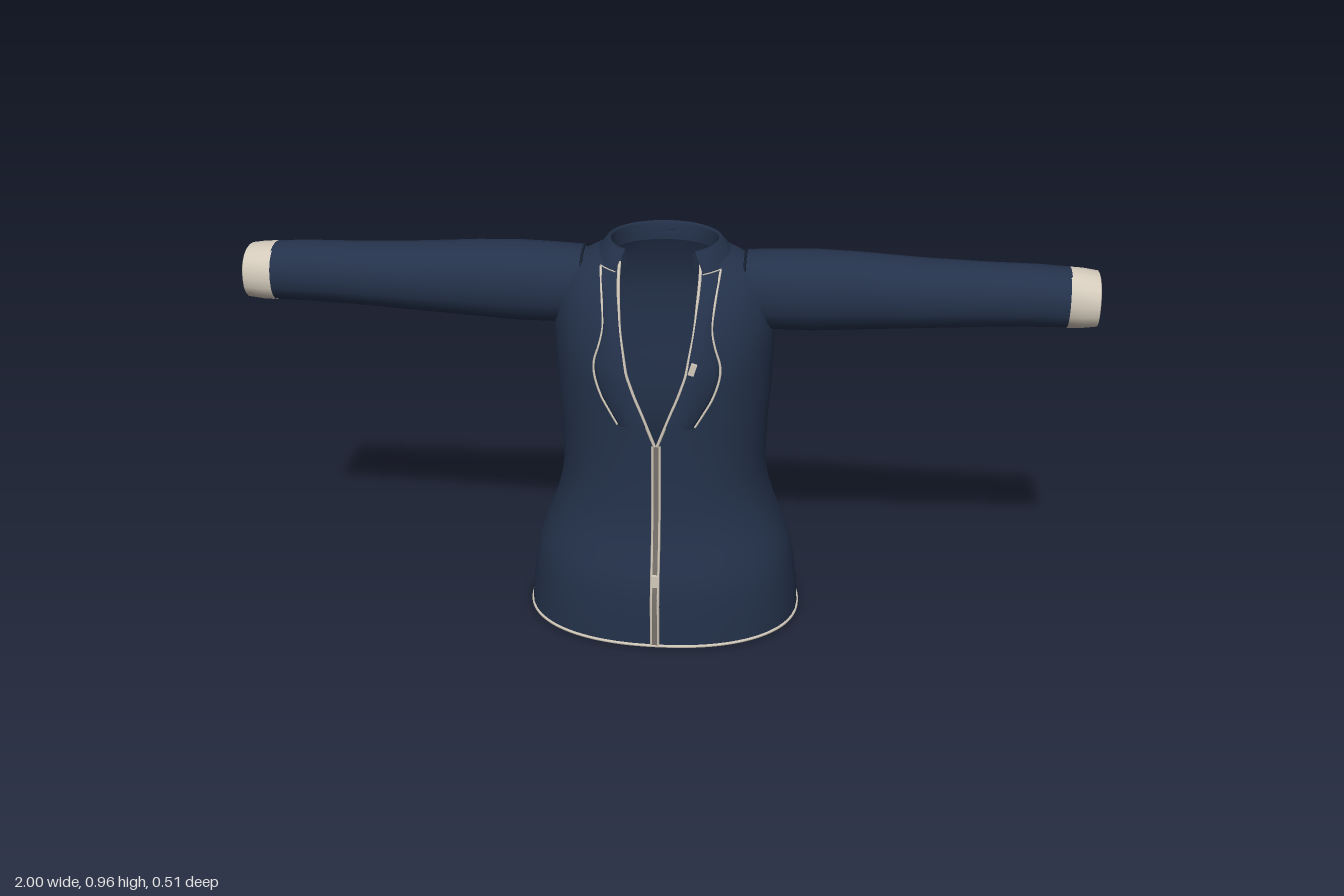
import * as THREE from 'three';

const DS = THREE.DoubleSide;
const mat = (name, color) => {
  const m = new THREE.MeshStandardMaterial({ color, side: DS });
  m.name = name;
  return m;
};

// Body profile rows: y, half width, front z, back z
const BODY = [
  [0, .335, .25, -.25], [.06, .331, .251, -.251], [.13, .322, .25, -.25], [.17, .315, .244, -.243],
  [.2, .307, .238, -.234], [.25, .288, .226, -.217], [.3, .268, .217, -.2], [.35, .254, .212, -.183],
  [.4, .247, .21, -.17], [.45, .247, .209, -.161], [.52, .25, .209, -.157], [.6, .256, .211, -.159],
  [.65, .258, .213, -.16], [.7, .26, .213, -.16], [.75, .262, .204, -.159], [.8, .261, .189, -.155],
  [.84, .254, .174, -.146], [.88, .238, .155, -.133], [.91, .21, .137, -.12], [.93, .17, .128, -.112],
  [.945, .135, .122, -.105],
];
// Half width of the neck opening at each height
const GAP = [[0, 0], [.52, 0], [.6, .03], [.65, .05], [.7, .066], [.8, .083], [.9, .09], [1, .09]];
// Outer edge of the lapel: y, x
const LAPEL = [[.57, .09], [.6, .108], [.64, .13], [.69, .145], [.72, .145], [.76, .133], [.8, .125], [.86, .13], [.92, .138]];

function lookup(table, y) {
  let i = 0;
  while (i < table.length - 2 && table[i + 1][0] < y) i++;
  const a = table[i], b = table[i + 1];
  const t = THREE.MathUtils.clamp((y - a[0]) / (b[0] - a[0]), 0, 1);
  return a.map((v, k) => v + (b[k] - v) * t);
}

const P = 0.9; // rounds the body section slightly toward a box
function frontPoint(x, y, lift = 0) {
  const [, w, f] = lookup(BODY, y);
  const r = Math.min(1, Math.abs(x) / w);
  return new THREE.Vector3(x, y, f * Math.pow(1 - Math.pow(r, 2 / P), P / 2) + lift);
}

// Skin joining a list of cross-sections
function loft(rings, closed) {
  const n = rings[0].length, pos = [], idx = [];
  rings.forEach(r => r.forEach(p => pos.push(p.x, p.y, p.z)));
  for (let i = 0; i < rings.length - 1; i++) {
    for (let j = 0; j < (closed ? n : n - 1); j++) {
      const k = (j + 1) % n, a = i * n + j, b = i * n + k, c = a + n, d = b + n;
      idx.push(a, b, d, a, d, c);
    }
  }
  const g = new THREE.BufferGeometry();
  g.setAttribute('position', new THREE.Float32BufferAttribute(pos, 3));
  g.setIndex(idx);
  g.computeVertexNormals();
  return g;
}

function bodyRing(y, n = 48) {
  const [, w, f, b] = lookup(BODY, y);
  const start = Math.asin(Math.pow(lookup(GAP, y)[1] / w, 1 / P));
  const pts = [];
  for (let i = 0; i <= n; i++) {
    const a = start + (2 * Math.PI - 2 * start) * i / n;
    const s = Math.sin(a), c = Math.cos(a);
    pts.push(new THREE.Vector3(w * Math.sign(s) * Math.pow(Math.abs(s), P), y,
      (c > 0 ? f : -b) * Math.sign(c) * Math.pow(Math.abs(c), P)));
  }
  return pts;
}

function collarRing(y, w, f, b, n = 36) {
  const start = .65, pts = [];
  for (let i = 0; i <= n; i++) {
    const a = start + (2 * Math.PI - 2 * start) * i / n, c = Math.cos(a);
    pts.push(new THREE.Vector3(w * Math.sin(a), y, c > 0 ? f * c : b * c));
  }
  return pts;
}

// Oval section of an arm, facing along x
function armRing(side, x, top, bottom, rz, n = 20) {
  const pts = [];
  for (let i = 0; i < n; i++) {
    const a = side * 2 * Math.PI * i / n, c = Math.cos(a), s = Math.sin(a);
    pts.push(new THREE.Vector3(side * x,
      (top + bottom) / 2 + (top - bottom) / 2 * Math.sign(c) * Math.pow(Math.abs(c), .9),
      .003 + rz * Math.sign(s) * Math.pow(Math.abs(s), .9)));
  }
  return pts;
}

export function createModel() {
  const group = new THREE.Group();
  group.name = 'jacket';
  const navy = mat('navy cloth', 0x24324b);
  const cream = mat('cream trim', 0xd3cabb);
  const grey = mat('zip teeth', 0x77726a);
  const dark = mat('dark lining', 0x172030);

  const add = (name, geometry, material) => {
    const m = new THREE.Mesh(geometry, material);
    m.name = name;
    group.add(m);
    return m;
  };
  const piping = (name, pts, r, closed = false, material = cream) =>
    add(name, new THREE.TubeGeometry(new THREE.CatmullRomCurve3(pts, closed), pts.length * 4, r, 6, closed), material);
  const steps = (from, to, n, fn) =>
    Array.from({ length: n + 1 }, (_, i) => fn(from + (to - from) * i / n));

  // Body
  add('body', loft(BODY.map(r => bodyRing(r[0])), false), navy);
  piping('hemTrim', bodyRing(.004).slice(0, -1), .004, true);

  // Standing collar: outer wall, rim, inner wall
  add('collar', loft([
    collarRing(.92, .165, .172, .135), collarRing(.94, .152, .163, .127),
    collarRing(.962, .134, .146, .117), collarRing(.965, .128, .14, .112),
    collarRing(.958, .124, .135, .106), collarRing(.92, .125, .135, .105),
  ], false), navy);
  piping('collarSeam', collarRing(.919, .166, .173, .136), .0018);

  // Zip: two tapes and the teeth between them
  add('zipTeeth', loft(steps(.003, .52, 20, y => [frontPoint(-.006, y, .002), frontPoint(.006, y, .002)]), false), grey);
  add('zipTeethInside', loft(steps(.003, .52, 20, y => [frontPoint(-.006, y, -.002), frontPoint(.006, y, -.002)]), false), grey);
  const slider = add('zipSlider', new THREE.BoxGeometry(.014, .03, .008), cream);
  slider.position.copy(frontPoint(0, .18, .004));
  const pull = add('zipPull', new THREE.BoxGeometry(.014, .028, .008), cream);
  pull.position.copy(frontPoint(.085, .72, .02));
  pull.rotation.z = -.3;

  for (const side of [1, -1]) {
    const label = side > 0 ? 'left' : 'right';

    piping(label + 'ZipTape', steps(.003, .52, 12, y => frontPoint(side * .008, y)), .0035);
    piping(label + 'NeckEdge', steps(.52, .935, 14, y => frontPoint(side * (lookup(GAP, y)[1] + .003), y, .005)), .004);

    // Folded lapel lying on the chest
    const flap = steps(.57, .92, 16, y => {
      const inner = lookup(GAP, y)[1], outer = lookup(LAPEL, y)[1];
      const puff = .016 * Math.min(1, (.945 - y) / .15);
      return [0, .15, .5, .85, 1].map((t, i) =>
        frontPoint(side * (inner + (outer - inner) * t), y, i % 4 ? puff : i ? .004 : .002));
    });
    add(label + 'Lapel', loft(flap, false), navy);
    piping(label + 'LapelTrim', LAPEL.map(([y, x]) => frontPoint(side * x, y, .006)), .003);

    // Sleeve
    const sleeve = [
      [.165, .905, .78, .07], [.19, .932, .752, .086], [.26, .935, .75, .092], [.35, .938, .75, .092],
      [.45, .935, .756, .088], [.6, .926, .765, .083], [.75, .921, .774, .078], [.86, .92, .778, .075],
      [.935, .916, .779, .073], [.945, .905, .79, .064],
    ];
    add(label + 'Sleeve', loft(sleeve.map(r => armRing(side, ...r)), true), navy);
    piping(label + 'ArmholeSeam', armRing(side, .19, .932, .752, .086), .003, true, dark);

    // Cuff with a turned inner wall
    add(label + 'Cuff', loft([
      [.932, .916, .778, .074], [.965, .914, .779, .074], [.998, .909, .783, .071], [1, .907, .785, .069],
      [.998, .899, .793, .061], [.945, .901, .791, .063],
    ].map(r => armRing(side, ...r)), true), cream);
    for (const x of [.9, .918]) {
      const stitch = add(label + 'CuffStitch', new THREE.BoxGeometry(.009, .006, .006), cream);
      stitch.position.set(side * x, .83, -.071);
    }

    // Pocket outline inside the lower front
    const corners = [[.1, .08], [.18, .08], [.18, .19], [.1, .19]];
    corners.forEach(([x, y], i) => {
      const [x2, y2] = corners[(i + 1) % 4];
      piping(label + 'InnerPocketEdge', steps(0, 1, 4, t =>
        frontPoint(side * (x + (x2 - x) * t), y + (y2 - y) * t, -.006)), .0025, false, dark);
    });
  }
  return group;
}
